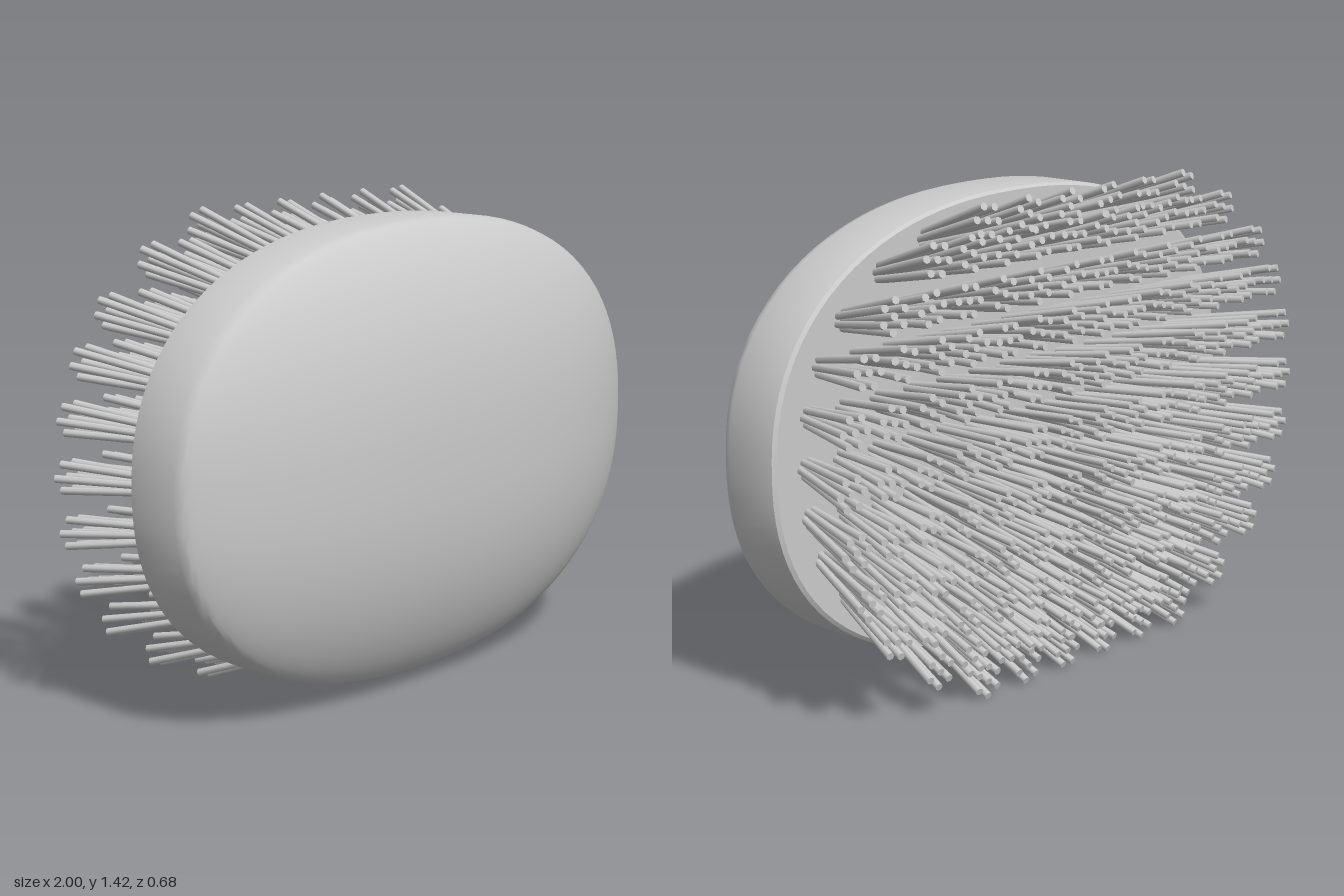
import * as THREE from 'three';
import { mergeGeometries, toCreasedNormals } from 'three/addons/utils/BufferGeometryUtils.js';

const CENTER_Y = 0.704, HALF_W = 0.97, HALF_H = 0.675, POWER = 2.3;
const BACK = -0.055, TIP = -0.335;

// Unit profile swept around z, then stretched to a rounded oval outline
function ovalBody() {
  const profile = [[0, BACK], [0.5, BACK], [0.985, BACK], [0.997, BACK + 0.008], [1, BACK + 0.03], [1, 0.12], [0.99, 0.145]];
  for (let i = 1; i <= 18; i++) {
    const s = 0.99 * Math.cos((i / 18) * Math.PI / 2);
    profile.push([i === 18 ? 0 : s, 0.145 + 0.195 * Math.pow(1 - Math.pow(s / 0.99, 2.4), 0.8)]);
  }
  const geo = new THREE.LatheGeometry(profile.map(([r, z]) => new THREE.Vector2(r, z)), 96);
  geo.rotateX(Math.PI / 2);
  const p = geo.attributes.position;
  for (let i = 0; i < p.count; i++) {
    const x = p.getX(i), y = p.getY(i), r = Math.hypot(x, y);
    if (r < 1e-6) continue;
    const k = r / Math.pow(Math.abs(x) ** POWER + Math.abs(y) ** POWER, 1 / POWER);
    p.setXY(i, x * k * HALF_W, y * k * HALF_H);
  }
  return toCreasedNormals(geo, 0.6);
}

// One straight bristle between two points
function bristle(from, to) {
  const dir = to.clone().sub(from);
  const geo = new THREE.CylinderGeometry(0.0115, 0.0105, dir.length(), 7, 1);
  geo.applyQuaternion(new THREE.Quaternion().setFromUnitVectors(new THREE.Vector3(0, 1, 0), dir.normalize()));
  const mid = from.clone().add(to).multiplyScalar(0.5);
  return geo.translate(mid.x, mid.y, mid.z);
}

// A clump of bristles that spreads towards its tip and leans away from the middle
function tuft(x, y, turn) {
  const parts = [];
  const tipX = x * 1.12, tipY = y * 1.16;
  for (let i = 0; i < 7; i++) {
    const a = turn + (i / 6) * Math.PI * 2, r = i < 6 ? 1 : 0;
    const cx = Math.cos(a) * r, cy = Math.sin(a) * r;
    parts.push(bristle(
      new THREE.Vector3(x + cx * 0.022, y + cy * 0.022, BACK + 0.01),
      new THREE.Vector3(tipX + cx * 0.043, tipY + cy * 0.043, TIP)));
  }
  return mergeGeometries(parts);
}

export function createModel() {
  const material = new THREE.MeshStandardMaterial({ color: 0xcccccc });
  const brush = new THREE.Group();
  brush.name = 'ovalBrush';

  const body = new THREE.Mesh(ovalBody(), material);
  body.name = 'domedBody';
  body.position.y = CENTER_Y;
  brush.add(body);

  // Rows of tufts, each row as wide as the oval allows
  const rows = [0, 0.14, 0.27, 0.385, 0.495, 0.565];
  for (let k = -5; k <= 5; k++) {
    const y = Math.sign(k) * rows[Math.abs(k)];
    const w = 0.845 * Math.pow(1 - Math.pow(Math.abs(y) / 0.61, POWER), 1 / POWER);
    const n = 2 * Math.round((w / 0.13 + 1) / 2 + w / 0.26);
    const tufts = [];
    for (let i = 0; i < n; i++) {
      tufts.push(tuft(-w + (2 * w * i) / (n - 1), y, (i * 5 + k * 3) * 0.37));
    }
    const row = new THREE.Mesh(mergeGeometries(tufts), material);
    row.name = 'bristleRow';
    row.position.y = CENTER_Y;
    brush.add(row);
  }
  return brush;
}
